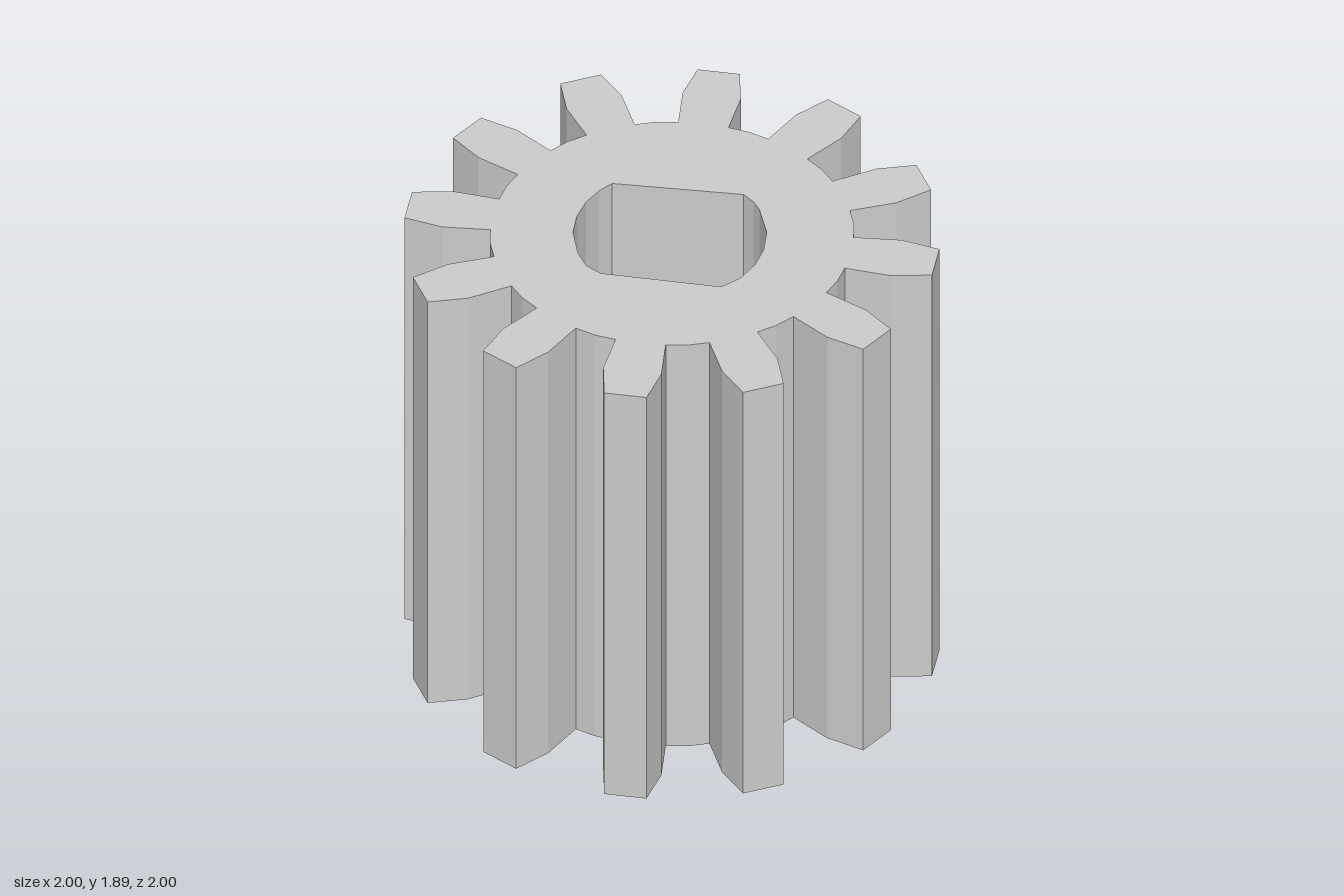
import * as THREE from 'three';

const HEIGHT = 1.89;
const TEETH = 12;
const OFFSET = -0.012; // slight turn of the whole tooth ring

// One tooth pointing along +x: [radial distance, sideways], followed by the valley's midpoint
const half = [[0.67, 0.095], [0.848, 0.11], [0.997, 0.08]];
const tooth = [
  ...half.map(([r, w]) => [r, -w]),
  ...half.slice().reverse(),
  [0.68 * Math.cos(Math.PI / TEETH), 0.68 * Math.sin(Math.PI / TEETH)],
];

// Shaft bore: two rounded sides joined by two slanting flats
const bore = [
  [0.33, -0.135], [0.35, -0.08], [0.355, -0.03], [0.335, 0.11], [0.29, 0.205],
  [0.23, 0.28], [0.15, 0.34], [0.065, 0.365],
  [-0.33, 0.14], [-0.365, 0.08], [-0.37, 0], [-0.345, -0.13], [-0.30, -0.215],
  [-0.24, -0.285], [-0.17, -0.335], [-0.11, -0.36],
];

export function createModel() {
  const group = new THREE.Group();
  group.name = 'pinionGear';

  // Gear outline, tooth by tooth
  const outline = [];
  for (let i = 0; i < TEETH; i++) {
    const a = OFFSET + (i * Math.PI * 2) / TEETH;
    const c = Math.cos(a), s = Math.sin(a);
    for (const [r, w] of tooth) {
      outline.push(new THREE.Vector2(r * c - w * s, r * s + w * c));
    }
  }
  const shape = new THREE.Shape(outline);
  shape.holes.push(new THREE.Path(bore.map(([x, z]) => new THREE.Vector2(x, z))));

  // Extrude, then stand the gear upright on the ground
  const geometry = new THREE.ExtrudeGeometry(shape, { depth: HEIGHT, bevelEnabled: false });
  geometry.rotateX(Math.PI / 2);
  geometry.translate(0, HEIGHT, 0);

  const gear = new THREE.Mesh(
    geometry,
    new THREE.MeshStandardMaterial({ color: 0xcccccc, flatShading: true })
  );
  gear.name = 'toothedGearBody';
  group.add(gear);
  return group;
}
